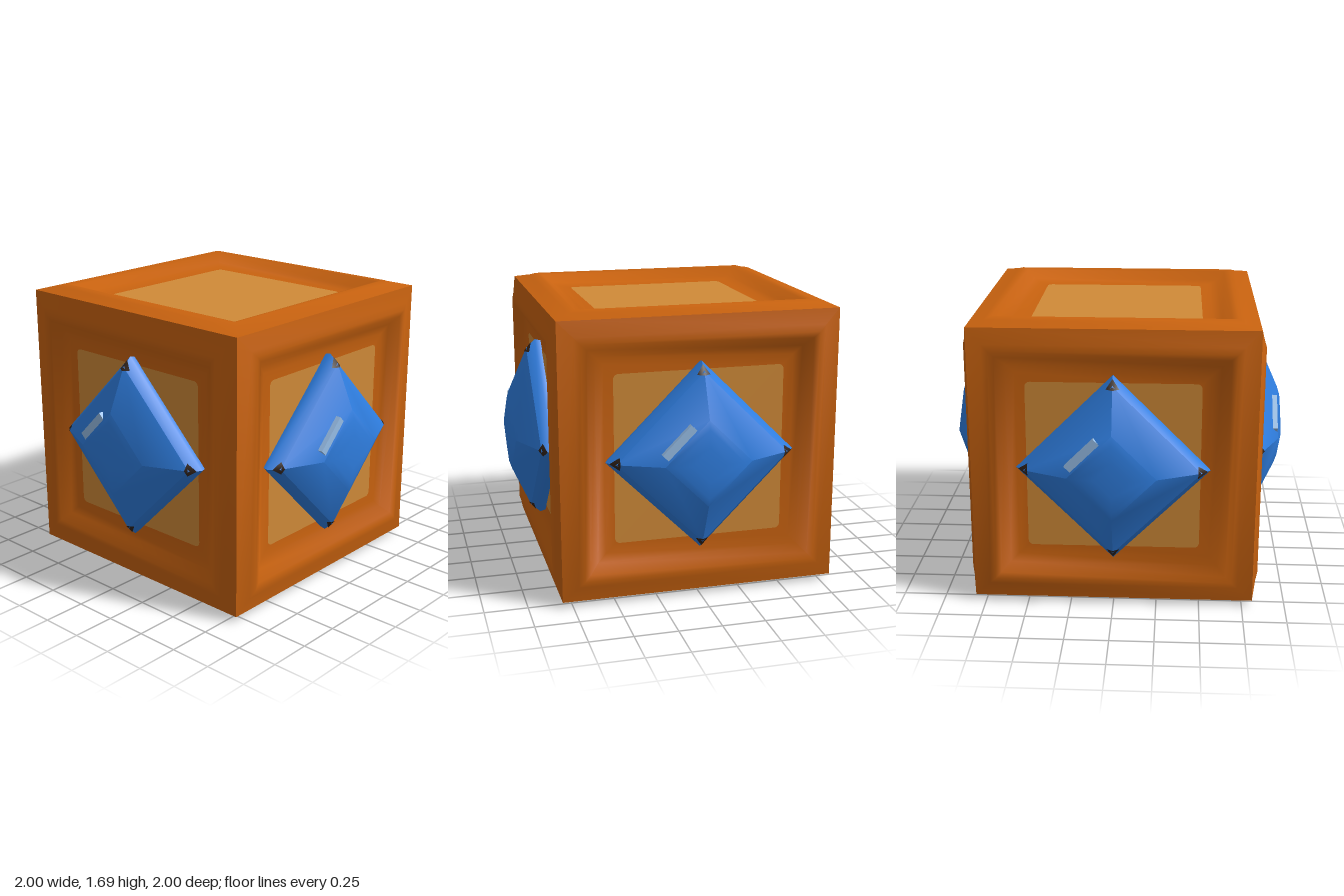
import * as THREE from 'three';
import { toCreasedNormals } from 'three/addons/utils/BufferGeometryUtils.js';

const mat = (name, color) => {
  const m = new THREE.MeshStandardMaterial({ color });
  m.name = name;
  return m;
};

// Four-sided lathe facing +z; points are [radius, height], outside to centre
function squareLathe(points, crease) {
  const g = new THREE.LatheGeometry(points.map(([r, h]) => new THREE.Vector2(r, h)), 4);
  g.rotateX(Math.PI / 2);
  return toCreasedNormals(g, crease);
}

// Rounded square panel
function panelShape(h, r) {
  const s = new THREE.Shape();
  [[1, 1, 0], [-1, 1, 1], [-1, -1, 2], [1, -1, 3]].forEach(([x, y, k]) =>
    s.absarc(x * (h - r), y * (h - r), r, k * Math.PI / 2, (k + 1) * Math.PI / 2));
  return new THREE.ShapeGeometry(s, 4);
}

export function createModel() {
  const orange = mat('orange frame', 0xc8620f);
  const tan = mat('tan panel', 0xd08a38);
  const blue = mat('blue gem', 0x2f7ee0);
  const pale = mat('pale highlight', 0x9cc4ee);
  const dark = mat('dark corner', 0x33241c);

  // Cushioned frame: sharp outer edge, raised rim, sunken floor
  const d = Math.SQRT2;
  const frameGeo = squareLathe([
    [0.81, 0.81], [0.72, 0.832], [0.685, 0.845], [0.65, 0.836], [0.60, 0.79], [0.55, 0.772], [0.48, 0.77],
  ].map(([r, h]) => [r * d, h]), 1.1).rotateZ(Math.PI / 4);
  const panelGeo = panelShape(0.495, 0.03).translate(0, 0, 0.773);

  // Gem: bevelled girdle and softly faceted crown
  const girdleGeo = squareLathe([[0.54, 0.765], [0.55, 0.805], [0.50, 0.86]], 0.8);
  const crownGeo = squareLathe([[0.50, 0.86], [0.25, 0.972], [0.20, 0.988], [0.10, 0.998], [0.001, 1.0]], 0.75);

  // Highlight bar and folded corner mark
  const barGeo = new THREE.BoxGeometry(0.23, 0.05, 0.035).rotateZ(Math.PI / 4).translate(-0.165, 0.13, 0.948);
  const cornerGeo = new THREE.BufferGeometry();
  cornerGeo.setAttribute('position', new THREE.Float32BufferAttribute([
    0.535, 0, 0.83, 0.48, 0.038, 0.848, 0.48, 0, 0.875, 0.48, -0.038, 0.848], 3));
  cornerGeo.setIndex([0, 1, 2, 0, 2, 3]);
  cornerGeo.computeVertexNormals();

  const model = new THREE.Group();
  model.name = 'crate';

  function addMesh(parent, name, geo, material) {
    const m = new THREE.Mesh(geo, material);
    m.name = name;
    parent.add(m);
    return m;
  }

  function addSide(name, rx, ry, hasGem) {
    const side = new THREE.Group();
    side.name = name;
    side.position.y = 0.85;
    side.rotation.set(rx, ry, 0);
    addMesh(side, 'frame', frameGeo, orange);
    addMesh(side, 'panel', panelGeo, tan);
    if (hasGem) {
      const gem = new THREE.Group();
      gem.name = 'gem';
      addMesh(gem, 'girdle', girdleGeo, blue);
      addMesh(gem, 'crown', crownGeo, blue);
      addMesh(gem, 'highlight', barGeo, pale);
      for (let i = 0; i < 4; i++) addMesh(gem, 'cornerMark', cornerGeo, dark).rotation.z = i * Math.PI / 2;
      side.add(gem);
    }
    model.add(side);
  }

  ['frontSide', 'leftSide', 'backSide', 'rightSide'].forEach((n, i) => addSide(n, 0, i * Math.PI / 2, true));
  addSide('topSide', -Math.PI / 2, 0, false);
  addSide('bottomSide', Math.PI / 2, 0, false);
  return model;
}
